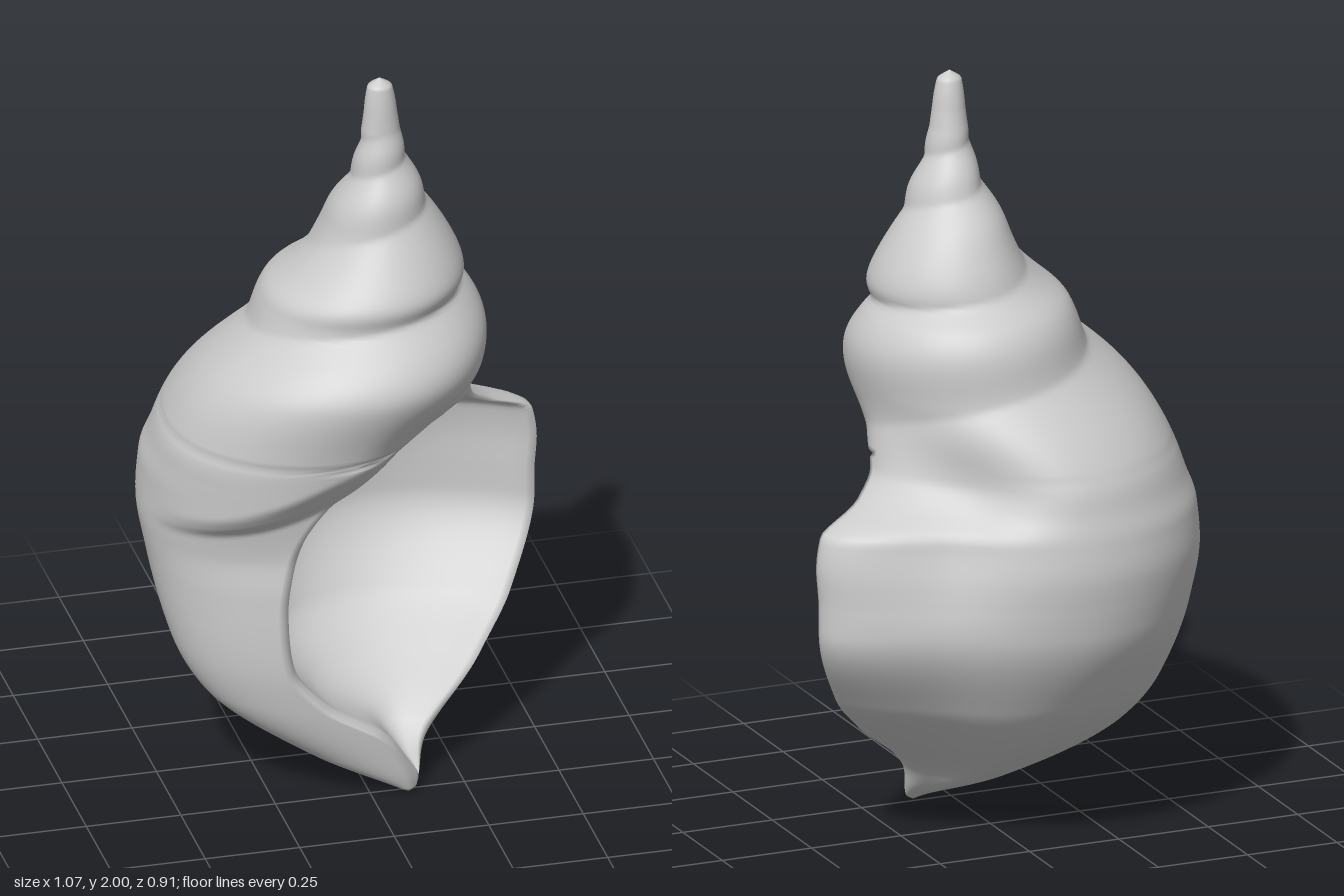
import * as THREE from 'three';
import { mergeVertices } from 'three/addons/utils/BufferGeometryUtils.js';

// Extent of the shell by height: y, left x, right x, front z, back z
const EXTENT = [
  [0, 0.1, 0.1, 0.265, 0.265],
  [0.015, 0.07, 0.122, 0.283, 0.238],
  [0.11, -0.15, 0.15, 0.303, 0.02],
  [0.28, -0.4, 0.335, 0.32, -0.23],
  [0.4, -0.465, 0.443, 0.328, -0.335],
  [0.62, -0.515, 0.53, 0.315, -0.437],
  [0.76, -0.535, 0.53, 0.3, -0.45],
  [0.87, -0.525, 0.51, 0.31, -0.43],
  [0.94, -0.502, 0.38, 0.365, -0.405],
  [1.0, -0.48, 0.32, 0.4, -0.385],
  [1.2, -0.352, 0.3, 0.405, -0.255],
  [1.4, -0.2, 0.27, 0.33, -0.15],
  [1.6, -0.065, 0.195, 0.25, -0.035],
  [1.8, 0.006, 0.115, 0.185, 0.07],
  [1.975, 0.022, 0.088, 0.166, 0.105],
  [2.0, 0.055, 0.055, 0.135, 0.135],
];
// Middle of the slices: y, x, z, flatness of the right side
const MIDDLE = [
  [0, 0.1, 0.265, 0.1], [0.2, 0, 0.145, 0.14], [0.4, -0.05, -0.025, 0.14], [0.62, -0.09, -0.12, 0.14],
  [0.87, -0.11, -0.11, 0.23], [1.0, -0.1, 0, 0.17], [1.2, -0.02, 0.08, 0], [1.5, 0.045, 0.1, 0],
  [1.8, 0.058, 0.13, 0], [2, 0.055, 0.135, 0],
];
// Inner lip: y, angle from the right side
const INNER_LIP = [
  [0.02, 0], [0.1, 1.1], [0.2, 1.6], [0.28, 1.87], [0.39, 2], [0.55, 1.95],
  [0.73, 1.81], [0.87, 1.6], [0.96, 1.28], [1.01, 0.8], [1.035, 0],
];
// Spiral suture: height, turn number
const SUTURE = [
  [0.6, 1.5], [0.78, 1.25], [0.93, 1], [1.1, 0.75], [1.22, 0.5], [1.37, 0], [1.45, -0.5],
  [1.6, -1], [1.75, -2], [1.85, -3],
];
// Swelling of the whorls between sutures: height, amount
const SWELL = [[0.7, 0], [1.0, 0.022], [1.22, 0.05], [1.5, 0.028], [1.9, 0]];

// Smooth interpolation without overshoot
function sample(table, y, col = 1) {
  const n = table.length;
  if (y <= table[0][0]) return table[0][col];
  if (y >= table[n - 1][0]) return table[n - 1][col];
  let i = 0;
  while (table[i + 1][0] < y) i++;
  const slope = (k) => (table[k + 1][col] - table[k][col]) / (table[k + 1][0] - table[k][0]);
  const tangent = (k) => {
    if (k === 0) return slope(0);
    if (k === n - 1) return slope(n - 2);
    const a = slope(k - 1), b = slope(k);
    return a * b <= 0 ? 0 : (2 * a * b) / (a + b);
  };
  const h = table[i + 1][0] - table[i][0], t = (y - table[i][0]) / h, t2 = t * t, t3 = t2 * t;
  return (2 * t3 - 3 * t2 + 1) * table[i][col] + (t3 - 2 * t2 + t) * h * tangent(i)
    + (3 * t2 - 2 * t3) * table[i + 1][col] + (t3 - t2) * h * tangent(i + 1);
}

// Outline of the outer wall from the inner lip round the left and back to the outer lip
function wallRow(y, columns) {
  const [xl, xr, zf, zb] = [1, 2, 3, 4].map((c) => sample(EXTENT, y, c));
  const [cx, cz, flat] = [1, 2, 3].map((c) => sample(MIDDLE, y, c));
  const turn = sample(SUTURE, y), swell = sample(SWELL, y), start = sample(INNER_LIP, y);
  // The overhang above the mouth sinks towards the left
  const lean = 0.2 * Math.exp(-(((y - 0.88) / 0.2) ** 2));
  const row = [];
  for (let j = 0; j <= columns; j++) {
    const a = start + ((2 * Math.PI - start) * j) / columns;
    const c = Math.cos(a), s = Math.sin(a), right = c > 0;
    const front = s > 0 ? THREE.MathUtils.lerp(zf, sample(EXTENT, y - lean * c, 3), Math.min(1, s * 3)) : zf;
    const mid = right ? cz : 0.56 * zf + 0.44 * zb;
    const shrink = right ? 1 - flat * Math.sin(2 * a) ** 2 : 1;
    const q = turn - (a - Math.PI / 2) / (2 * Math.PI);
    const bump = swell * Math.abs(Math.sin(Math.PI * q)) ** 1.2;
    row.push(new THREE.Vector3(
      cx + c * (shrink * (right ? xr - cx : cx - xl) + bump),
      y,
      mid + s * (shrink * (s > 0 ? front - mid : mid - zb) + bump),
    ));
  }
  return row;
}

// Rounded outer lip, hollow of the mouth and rounded inner lip, back to the start of the wall
function mouthRow(inner, outer) {
  const width = inner.distanceTo(outer), g = width / 0.88;
  const across = inner.clone().sub(outer).normalize();
  const thick = Math.min(0.03, 0.15 * width);
  const shift = (p, x, z, k) => p.clone().add(new THREE.Vector3(x, 0, z).multiplyScalar(k));
  const from = outer.clone().addScaledVector(across, thick);
  const to = shift(inner.clone().addScaledVector(across, -thick), -0.3, -0.95, thick);
  const hollow = new THREE.CubicBezierCurve3(
    from, shift(from, -0.43, -0.27, g), shift(to, -0.13, -0.43, g), to,
  );
  const edge = outer.clone().lerp(from, 0.5);
  const bevel = inner.clone().lerp(to, 0.5).addScaledVector(across, -0.25 * thick);
  return [shift(edge, 0.85, 0.52, 0.4 * thick), ...hollow.getPoints(40), bevel, inner.clone()];
}

// Skin over rows of points
function loft(rows) {
  const n = rows[0].length, pos = [], index = [];
  rows.forEach((row) => row.forEach((v) => pos.push(v.x, v.y, v.z)));
  for (let i = 0; i < rows.length - 1; i++) {
    for (let j = 0; j < n - 1; j++) {
      const a = i * n + j, b = a + n;
      index.push(a, b, a + 1, b, b + 1, a + 1);
    }
  }
  const grid = new THREE.BufferGeometry();
  grid.setAttribute('position', new THREE.Float32BufferAttribute(pos, 3));
  grid.setIndex(index);
  const geo = mergeVertices(grid, 1e-5);
  geo.computeVertexNormals();
  return geo;
}

export function createModel() {
  const group = new THREE.Group();
  group.name = 'seaShell';

  // Spire, body whorl, lips and mouth as one continuous skin
  const ROWS = 260, COLUMNS = 110, rows = [];
  for (let i = 0; i <= ROWS; i++) {
    const wall = wallRow(1 - Math.cos((Math.PI * i) / ROWS), COLUMNS);
    rows.push([...wall, ...mouthRow(wall[0], wall[COLUMNS])]);
  }
  const material = new THREE.MeshStandardMaterial({ color: 0xcccccc, side: THREE.DoubleSide });
  const shell = new THREE.Mesh(loft(rows), material);
  shell.name = 'shell';
  group.add(shell);

  return group;
}
